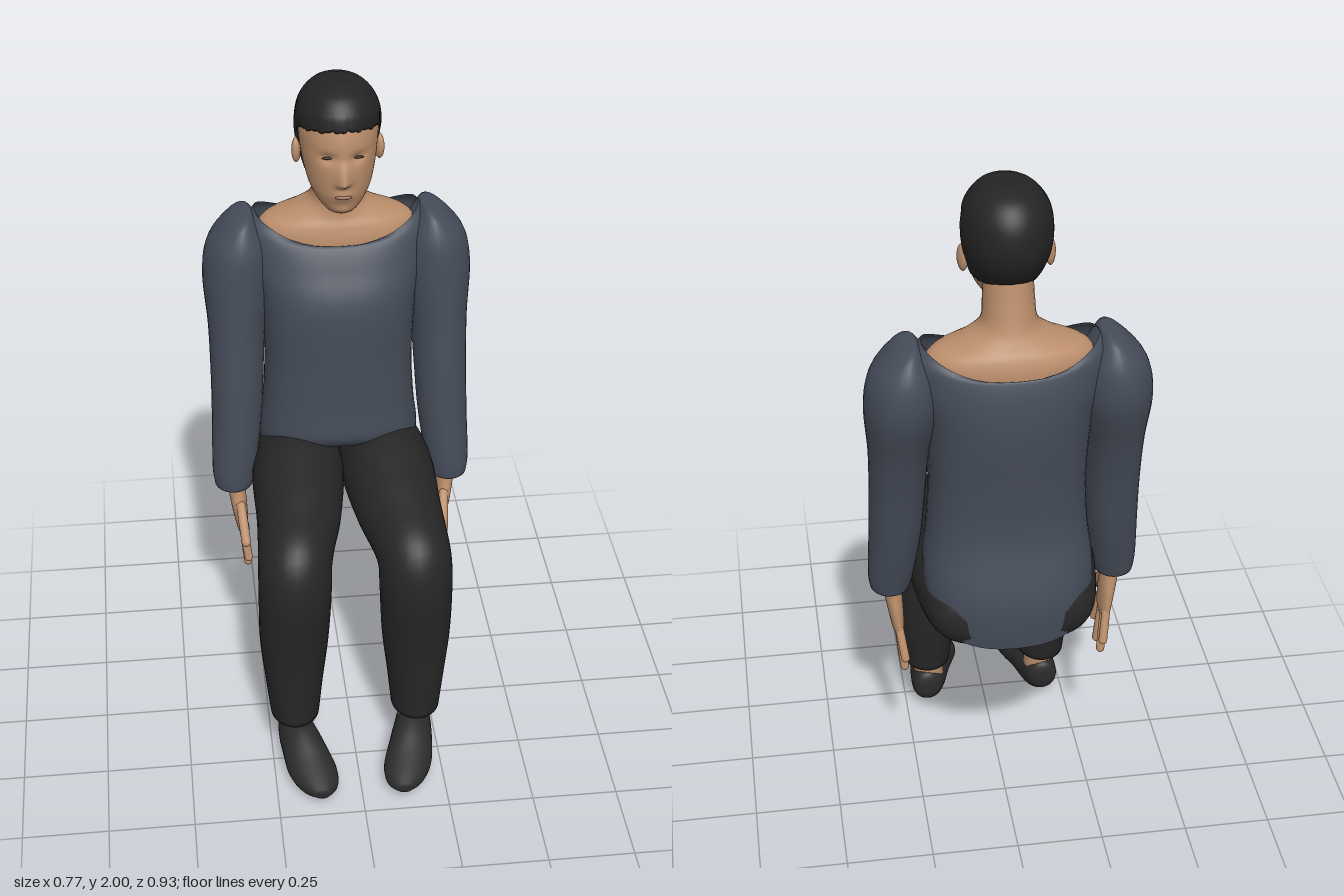
import * as THREE from 'three';
import { mergeVertices } from 'three/addons/utils/BufferGeometryUtils.js';

const material = (name, color, side = THREE.FrontSide) => {
  const m = new THREE.MeshStandardMaterial({ color, side });
  m.name = name;
  return m;
};

// Smooth interpolation through a list of rings
function sample(rings, u) {
  const f = u * (rings.length - 1), i = Math.min(Math.floor(f), rings.length - 2), t = f - i;
  const at = (k) => rings[Math.max(0, Math.min(rings.length - 1, k))];
  const [A, B, C, D] = [at(i - 1), at(i), at(i + 1), at(i + 2)];
  return [0, 1, 2, 3, 4, 5, 6].map((k) => {
    const [a, b, c, d] = [A, B, C, D].map((r) => r[k] || 0);
    return b + 0.5 * t * (c - a + t * (2 * a - 5 * b + 4 * c - d + t * (3 * (b - c) + d - a)));
  });
}

// Ring: [x, y, z, half width, half depth, tilt in degrees, dip at front and back]
function ringPoint(rings, u, angle, power = 1) {
  const [x, y, z, a, b, tilt, dip] = sample(rings, u);
  const c = Math.cos(angle), s = Math.sin(angle), t = THREE.MathUtils.degToRad(tilt);
  const p = Math.sign(c) * Math.abs(c) ** power * a;
  const q = Math.sign(s) * Math.abs(s) ** power * b;
  return [x + p, y - q * Math.sin(t) - dip * s * s, z + q * Math.cos(t)];
}

// Closed-around surface from a point rule, with optional end caps
function skinGrid(rule, rows, cols, capped) {
  const pos = [], index = [];
  const total = rows + 1 + (capped ? 2 : 0);
  for (let r = 0; r < total; r++) {
    const row = THREE.MathUtils.clamp(capped ? r - 1 : r, 0, rows);
    const ring = [];
    for (let j = 0; j <= cols; j++) ring.push(rule(row / rows, ((j % cols) / cols) * Math.PI * 2));
    if (capped && (r === 0 || r === total - 1)) {
      const mid = [0, 1, 2].map((k) => ring.slice(0, cols).reduce((sum, p) => sum + p[k], 0) / cols);
      ring.fill(mid);
    }
    ring.forEach((p) => pos.push(...p));
  }
  const w = cols + 1;
  for (let r = 0; r < total - 1; r++) {
    for (let j = 0; j < cols; j++) {
      const k = r * w + j;
      index.push(k, k + w, k + 1, k + 1, k + w, k + w + 1);
    }
  }
  let g = new THREE.BufferGeometry();
  g.setAttribute('position', new THREE.Float32BufferAttribute(pos, 3));
  g.setIndex(index);
  g = mergeVertices(g, 1e-5);
  g.computeVertexNormals();
  return g;
}

const loft = (rings, { capped = true, power = 1, cols = 32 } = {}) =>
  skinGrid((u, a) => ringPoint(rings, u, a, power), (rings.length - 1) * 6, cols, capped);

const HEAD = [
  [0, 1.645, -0.155, 0.02, 0.02], [0, 1.657, -0.16, 0.042, 0.045], [0, 1.685, -0.175, 0.066, 0.078],
  [0, 1.725, -0.19, 0.086, 0.104], [0, 1.775, -0.21, 0.099, 0.13], [0, 1.83, -0.224, 0.107, 0.142],
  [0, 1.88, -0.229, 0.109, 0.142], [0, 1.93, -0.232, 0.1, 0.127], [0, 1.968, -0.232, 0.072, 0.094],
  [0, 1.986, -0.23, 0.035, 0.045],
];

// Face relief: nose, eye sockets and mouth pushed along z
function facePoint(u, a) {
  const [x, y, z] = ringPoint(HEAD, u, a);
  if (Math.sin(a) < 0) return [x, y, z];
  const bell = (d, w) => Math.exp(-((d / w) ** 2));
  const t = (1.828 - y) / 0.068;
  const nose = t < 0 ? 0 : t < 1 ? t : Math.max(0, 1 - (t - 1) * 4);
  const relief = 0.026 * nose * bell(x, 0.017)
    - 0.013 * bell(Math.abs(x) - 0.04, 0.022) * bell(y - 1.828, 0.015)
    + 0.007 * bell(x, 0.03) * bell(y - 1.717, 0.016)
    + 0.008 * bell(x, 0.03) * bell(y - 1.668, 0.014);
  return [x, y, z + relief];
}

// Short hair: shell over the skull with a hairline dropping behind the ears
function hairPoint(v, a) {
  const s = Math.sin(a);
  const drop = THREE.MathUtils.smoothstep(-s, -0.12, 0.22);
  const jag = 0.004 * Math.sin(a * 23) * Math.sin(a * 9 + 1);
  const low = THREE.MathUtils.lerp(1.875 + 0.03 * Math.max(0, s), 1.745, drop) + jag;
  let u0 = 0;
  while (sample(HEAD, u0)[1] < low) u0 += 0.002;
  const [x, y, z] = ringPoint(HEAD, u0 + (1 - u0) * v, a);
  const lift = 0.004 + 0.007 * Math.min(1, v * 4);
  const n = new THREE.Vector3(x, y - 1.86, z + 0.23).normalize().multiplyScalar(lift);
  return [x + n.x, y + n.y + 0.003 * v, z + n.z];
}

export function createModel() {
  const model = new THREE.Group();
  model.name = 'seatedFigure';
  const skin = material('skin', 0xbb8e6b);
  const lip = material('lips', 0x9a6a52);
  const eyeDark = material('eyes', 0x3a2a22);
  const hair = material('hair', 0x242424);
  const sweater = material('sweater', 0x464d5a, THREE.DoubleSide);
  const trousers = material('trousers', 0x262626);
  const shoe = material('shoes', 0x2b2b2b);

  const add = (name, geometry, mat, parent = model) => {
    const mesh = new THREE.Mesh(geometry, mat);
    mesh.name = name;
    parent.add(mesh);
    return mesh;
  };
  const ball = (name, p, r, mat, parent) => {
    const mesh = add(name, new THREE.SphereGeometry(1, 20, 14), mat, parent);
    mesh.position.set(...p);
    mesh.scale.set(...r);
    return mesh;
  };
  const finger = (name, from, to, r, parent) => {
    const a = new THREE.Vector3(...from), b = new THREE.Vector3(...to), d = b.clone().sub(a);
    const mesh = add(name, new THREE.CapsuleGeometry(r, d.length() - r, 5, 12), skin, parent);
    mesh.position.copy(a).lerp(b, 0.5);
    mesh.quaternion.setFromUnitVectors(new THREE.Vector3(0, 1, 0), d.normalize());
  };

  // Head
  const head = new THREE.Group();
  head.name = 'head';
  model.add(head);
  add('face', skinGrid(facePoint, 80, 72, true), skin, head);
  add('hair', skinGrid(hairPoint, 24, 96, true), hair, head);
  ball('mouth', [0, 1.718, -0.084], [0.023, 0.006, 0.008], lip, head);

  // Neck and bare shoulders inside the wide collar
  add('neck', loft([
    [0, 1.44, -0.29, 0.2, 0.11], [0, 1.52, -0.293, 0.226, 0.115], [0, 1.565, -0.293, 0.205, 0.106],
    [0, 1.595, -0.29, 0.13, 0.092], [0, 1.63, -0.282, 0.078, 0.083], [0, 1.69, -0.268, 0.068, 0.08],
    [0, 1.76, -0.255, 0.066, 0.078],
  ]), skin);

  // Sweater body, open at collar and hem
  add('sweaterBody', loft([
    [0, 0.79, -0.277, 0.232, 0.2, -30], [0, 0.88, -0.268, 0.236, 0.196, -14], [0, 1.0, -0.25, 0.222, 0.172],
    [0, 1.15, -0.25, 0.215, 0.172], [0, 1.35, -0.26, 0.226, 0.182], [0, 1.46, -0.28, 0.25, 0.158],
    [0, 1.55, -0.29, 0.257, 0.134, 0, 0.03], [0, 1.592, -0.293, 0.232, 0.122, 0, 0.072],
  ], { capped: false, power: 0.85, cols: 48 }), sweater);

  for (const s of [1, -1]) {
    const side = new THREE.Group();
    side.name = s > 0 ? 'leftSide' : 'rightSide';
    model.add(side);
    const flip = (rings) => rings.map(([x, ...rest]) => [s * x, ...rest]);

    ball('ear', [s * 0.114, 1.795, -0.235], [0.013, 0.038, 0.022], skin, side).rotation.y = s * 0.3;
    ball('eye', [s * 0.041, 1.829, -0.101], [0.016, 0.0035, 0.005], eyeDark, side);

    // Sleeve, from shoulder to cuff
    add('sleeve', loft(flip([
      [0.255, 1.59, -0.285, 0.012, 0.05, 180], [0.268, 1.567, -0.285, 0.042, 0.09, 180],
      [0.278, 1.5, -0.285, 0.088, 0.122, 180], [0.285, 1.4, -0.28, 0.1, 0.128, 180],
      [0.293, 1.25, -0.25, 0.083, 0.108, 180], [0.298, 1.1, -0.222, 0.077, 0.095, 180],
      [0.305, 0.95, -0.2, 0.073, 0.086, 180], [0.318, 0.8, -0.176, 0.065, 0.072, 180],
      [0.322, 0.745, -0.17, 0.056, 0.064, 180],
    ])), sweater, side);

    // Hand
    add('palm', loft(flip([
      [0.318, 0.78, -0.168, 0.028, 0.034, 180], [0.314, 0.72, -0.165, 0.026, 0.038, 180],
      [0.308, 0.66, -0.16, 0.023, 0.052, 180], [0.302, 0.6, -0.16, 0.018, 0.055, 180],
      [0.3, 0.575, -0.16, 0.012, 0.048, 180],
    ])), skin, side);
    [[-0.117, -0.094, 0.503], [-0.146, -0.14, 0.455], [-0.176, -0.2, 0.46], [-0.2, -0.233, 0.513]]
      .forEach(([z0, z1, y1]) => finger('finger', [s * 0.302, 0.61, z0], [s * 0.288, y1, z1], 0.0125, side));
    finger('thumb', [s * 0.306, 0.69, -0.125], [s * 0.296, 0.592, -0.05], 0.0145, side);

    // Trouser leg, from seat over the knee to the hem
    add('trouserLeg', loft(flip([
      [0.1, 0.76, -0.435, 0.05, 0.04, 90], [0.115, 0.768, -0.4, 0.1, 0.085, 90],
      [0.125, 0.775, -0.3, 0.124, 0.122, 90], [0.133, 0.785, -0.12, 0.136, 0.145, 90],
      [0.145, 0.765, 0.05, 0.124, 0.124, 90], [0.16, 0.742, 0.15, 0.113, 0.112, 98],
      [0.172, 0.7, 0.216, 0.106, 0.122, 135], [0.175, 0.61, 0.23, 0.105, 0.113, 172],
      [0.179, 0.45, 0.218, 0.1, 0.104, 180], [0.181, 0.3, 0.217, 0.085, 0.097, 180],
      [0.181, 0.175, 0.22, 0.072, 0.09, 180],
    ])), trousers, side);

    const ankle = add('ankle', new THREE.CylinderGeometry(0.048, 0.044, 0.12, 24), skin, side);
    ankle.position.set(s * 0.175, 0.15, 0.212);

    // Shoe, toe turned slightly inward
    add('shoe', loft(flip([
      [0.186, 0.088, 0.152, 0.015, 0.02, 90], [0.184, 0.087, 0.166, 0.042, 0.05, 90],
      [0.176, 0.076, 0.22, 0.055, 0.074, 90], [0.162, 0.072, 0.29, 0.064, 0.068, 90],
      [0.142, 0.053, 0.37, 0.071, 0.05, 90], [0.128, 0.044, 0.43, 0.054, 0.033, 90],
      [0.122, 0.046, 0.467, 0.022, 0.014, 90],
    ])), shoe, side);
  }
  return model;
}
